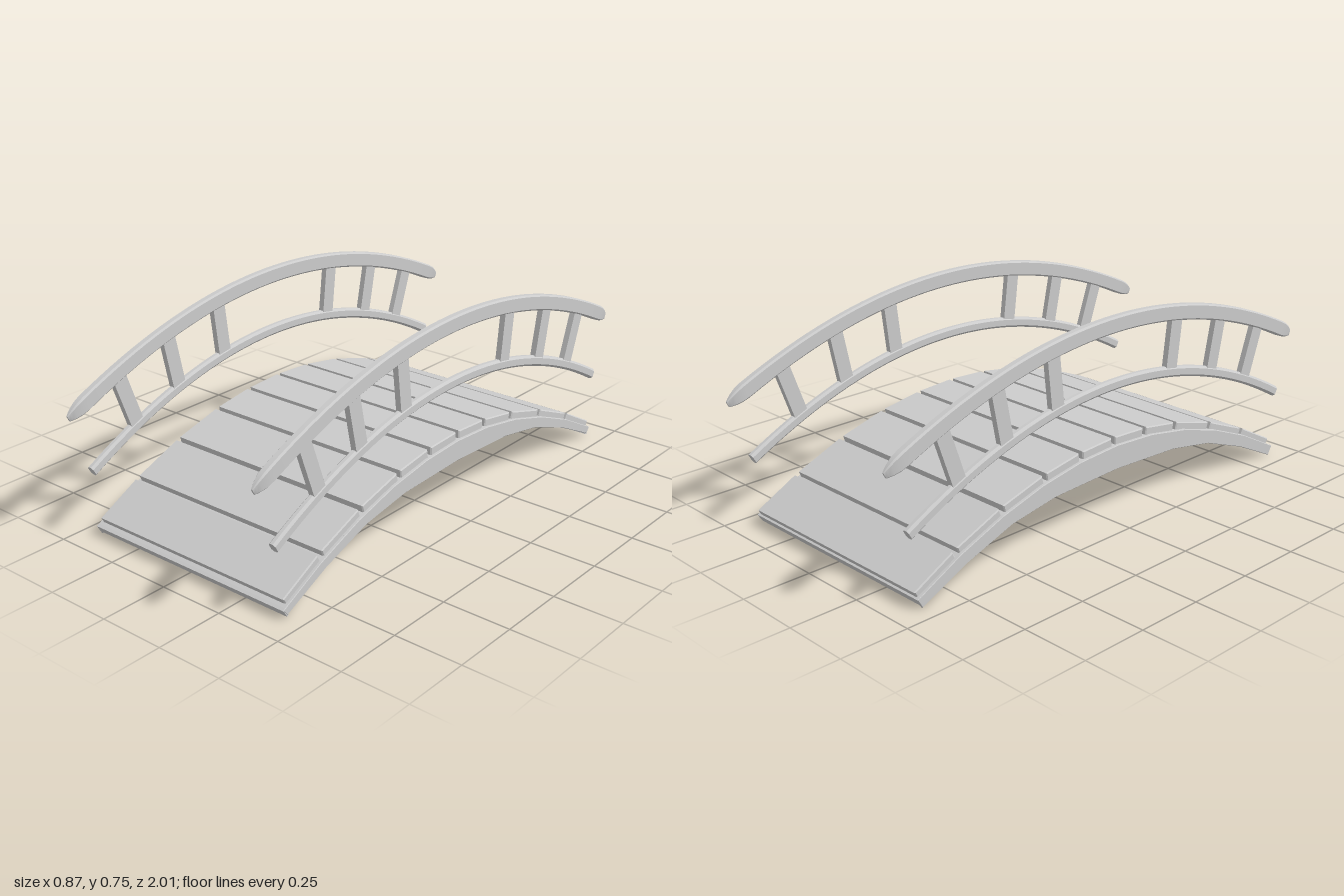
import * as THREE from 'three';
import { toCreasedNormals } from 'three/addons/utils/BufferGeometryUtils.js';

const material = new THREE.MeshStandardMaterial({ color: 0xcccccc });

function addMesh(parent, name, geometry) {
  const mesh = new THREE.Mesh(geometry, material);
  mesh.name = name;
  parent.add(mesh);
  return mesh;
}

// Side profile of [z, y] points, extruded across x with a small bevel
function extrudeAcross(points, width, bevel) {
  const shape = new THREE.Shape(points.map(([z, y]) => new THREE.Vector2(z, y)));
  const geometry = new THREE.ExtrudeGeometry(shape, {
    depth: width - 2 * bevel, bevelEnabled: true, bevelSize: bevel,
    bevelThickness: bevel, bevelOffset: -bevel, bevelSegments: 1,
  });
  geometry.translate(0, 0, bevel - width / 2);
  return geometry.rotateY(-Math.PI / 2);
}

// Points along the top of the deck arch, from back to front
function deckArch(halfLength, drop) {
  const points = [];
  for (let i = -5; i <= 5; i++) {
    const z = (i / 5) * halfLength;
    points.push([z, 0.292 - drop - 0.315 * z * z]);
  }
  return points;
}

// Arched bar along z: chamfered section swept along y = top - drop * z^2
function archedBar(halfLength, top, drop, width, height, chamfer, taper) {
  const a = width / 2, b = height / 2, c = chamfer;
  const section = [[a, c - b], [a, b - c], [a - c, b], [c - a, b],
    [-a, b - c], [-a, c - b], [c - a, -b], [a - c, -b]];
  const n = section.length;
  // Evenly spaced stations, with extra ones where the ends narrow
  const stations = [];
  for (let i = -20; i <= 20; i++) stations.push((i / 20) * halfLength * 0.93);
  for (const f of [0.955, 0.975, 0.99, 1]) {
    stations.push(f * halfLength);
    stations.unshift(-f * halfLength);
  }
  const positions = [], index = [];
  for (const z of stations) {
    const k = Math.max(0, (Math.abs(z) / halfLength - 0.93) / 0.07);
    const sx = taper ? 1 - 0.8 * k * k : 1;
    const sy = taper ? 1 - 0.6 * k * k : 1;
    const slope = Math.atan(-2 * drop * z);
    for (const [x, v] of section) {
      positions.push(x * sx, top - drop * z * z + v * sy * Math.cos(slope),
        z - v * sy * Math.sin(slope));
    }
  }
  const last = (stations.length - 1) * n;
  for (let r = 0; r < last; r += n) {
    for (let j = 0; j < n; j++) {
      const p = r + j, q = r + (j + 1) % n;
      index.push(p, q, p + n, q, q + n, p + n);
    }
  }
  for (let j = 1; j < n - 1; j++) {
    index.push(0, j + 1, j, last, last + j, last + j + 1);
  }
  const geometry = new THREE.BufferGeometry();
  geometry.setAttribute('position', new THREE.Float32BufferAttribute(positions, 3));
  geometry.setIndex(index);
  return toCreasedNormals(geometry, 0.5);
}

export function createModel() {
  const bridge = new THREE.Group();
  bridge.name = 'archedFootbridge';

  // Thin arched sheet under the planks, open below
  const sheet = [...deckArch(0.9, 0), ...deckArch(0.9, 0.01).reverse()];
  addMesh(bridge, 'deckSheet', extrudeAcross(sheet, 0.87, 0.001));

  // Side beams; the left one is slightly shallower
  const underside = [[0.885, 0], [0.7, 0.087], [0.5, 0.158], [0.3, 0.192], [0, 0.204],
    [-0.3, 0.192], [-0.5, 0.158], [-0.7, 0.087], [-0.885, 0]];
  for (const [name, x, lift] of [['leftBeam', 0.431, 0.012], ['rightBeam', -0.431, 0]]) {
    const profile = [...deckArch(0.905, 0), ...underside.map(([z, y]) => [z, y + lift])];
    addMesh(bridge, name, extrudeAcross(profile, 0.01, 0.002)).position.x = x;
  }

  // Shallow walls closing both ends
  for (const end of [1, -1]) {
    const wall = [[0.905, 0.034], [0.887, 0.006], [0.879, 0.01], [0.895, 0.04]];
    addMesh(bridge, 'endWall', extrudeAcross(wall.map(([z, y]) => [end * z, y]), 0.87, 0.001));
  }

  // Planks laid over the arch with narrow gaps, showing through underneath
  const seams = [0.902, 0.72, 0.52, 0.32, 0.152, -0.01, -0.172, -0.345, -0.54, -0.74, -0.917];
  const planks = new THREE.Group();
  planks.name = 'planks';
  bridge.add(planks);
  const plankTop = (z) => 0.32 - 0.32 * z * z;
  for (let i = 0; i < seams.length - 1; i++) {
    const z0 = seams[i] - 0.009, z1 = seams[i + 1] + 0.009;
    const y0 = plankTop(z0), y1 = plankTop(z1);
    const half = Math.hypot(z0 - z1, y0 - y1) / 2;
    const plank = addMesh(planks, 'plank', extrudeAcross(
      [[-half, -0.045], [half, -0.045], [half, 0], [-half, 0]], 0.85, 0.004));
    plank.position.set(0, (y0 + y1) / 2, (z0 + z1) / 2);
    plank.rotation.x = Math.atan2(y1 - y0, z0 - z1);
  }

  // Railings: tapered handrail, lower rail and three leaning posts at each end
  const posts = [[0.786, 0.565, 0.715, 0.365], [0.555, 0.645, 0.512, 0.44], [0.308, 0.695, 0.283, 0.49]];
  for (const side of [1, -1]) {
    const railing = new THREE.Group();
    railing.name = side > 0 ? 'leftRailing' : 'rightRailing';
    railing.position.x = side * 0.416;
    bridge.add(railing);
    addMesh(railing, 'handrail', archedBar(1, 0.726, 0.252, 0.031, 0.058, 0.006, true));
    addMesh(railing, 'lowerRail', archedBar(0.92, 0.512, 0.304, 0.028, 0.039, 0.008, false));
    for (const end of [1, -1]) {
      for (const [zTop, yTop, zLow, yLow] of posts) {
        const dz = zTop - zLow, dy = yTop - yLow;
        const post = addMesh(railing, 'post', new THREE.BoxGeometry(0.022, Math.hypot(dz, dy), 0.056));
        post.position.set(0, (yTop + yLow) / 2, end * (zTop + zLow) / 2);
        post.rotation.x = end * Math.atan2(dz, dy);
      }
    }
  }
  return bridge;
}
